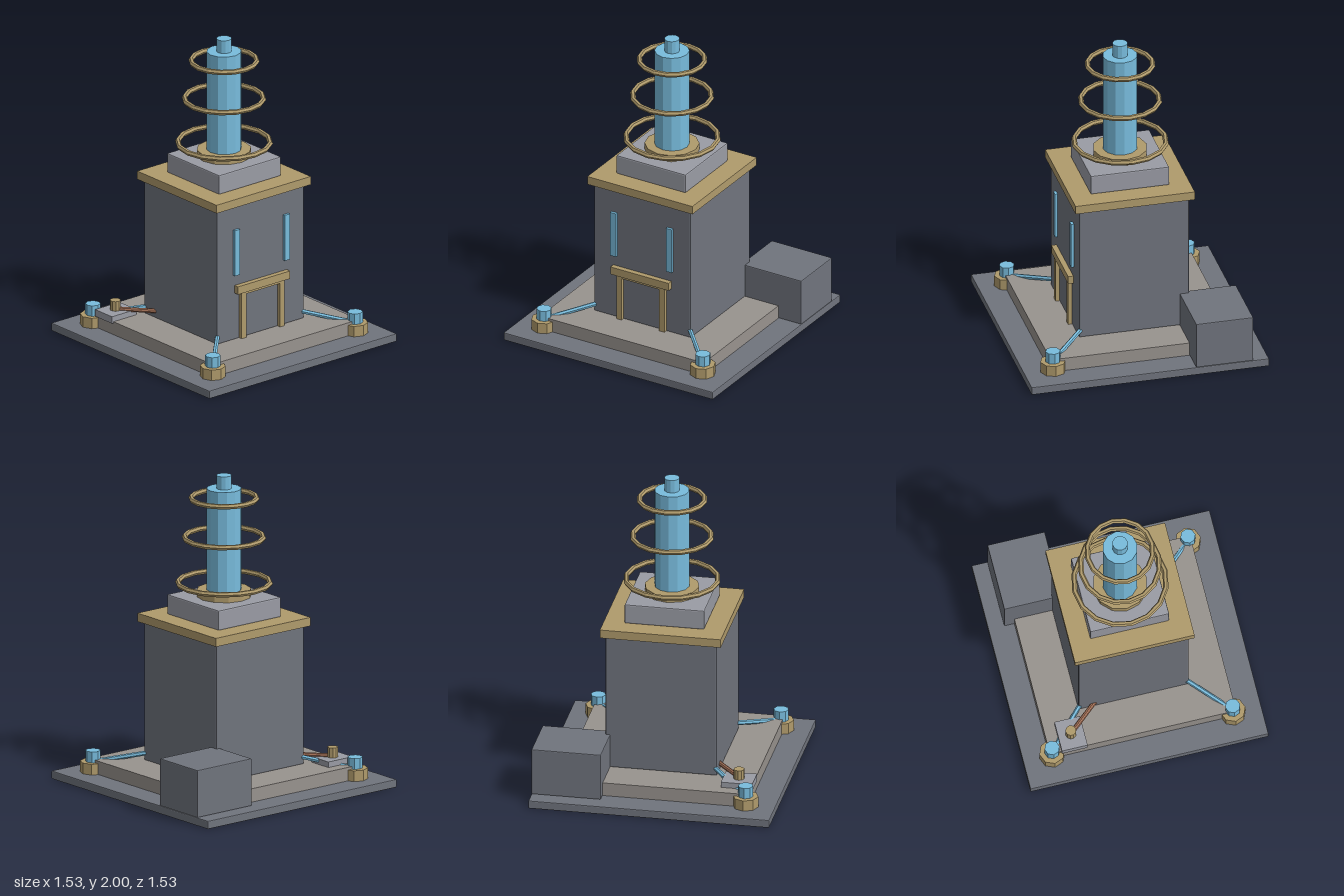
import * as THREE from 'three';
import { RoundedBoxGeometry } from 'three/addons/geometries/RoundedBoxGeometry.js';

const mat = (color) => new THREE.MeshStandardMaterial({ color, flatShading: true });
const stone = mat(0x70747d), slab = mat(0x98938e), pale = mat(0x9a9ca5);
const brass = mat(0xb09b6c), glow = mat(0x78bcdd), copper = mat(0xa8745a);

export function createModel() {
  const model = new THREE.Group();

  const add = (name, geometry, material) => {
    const mesh = new THREE.Mesh(geometry, material);
    mesh.name = name;
    model.add(mesh);
    return mesh;
  };
  // Box given by its extents on each axis; bevel softens its edges
  const box = (name, material, [x0, x1], [y0, y1], [z0, z1], bevel = 0) => {
    const size = [x1 - x0, y1 - y0, z1 - z0];
    const geometry = bevel
      ? new RoundedBoxGeometry(...size, 1, bevel)
      : new THREE.BoxGeometry(...size);
    add(name, geometry, material).position.set((x0 + x1) / 2, (y0 + y1) / 2, (z0 + z1) / 2);
  };
  const square = (name, material, half, ys, bevel) =>
    box(name, material, [-half, half], ys, [-half, half], bevel);
  // Upright prism
  const post = (name, material, r, [y0, y1], sides, x = 0, z = 0) =>
    add(name, new THREE.CylinderGeometry(r, r, y1 - y0, sides), material)
      .position.set(x, (y0 + y1) / 2, z);
  // Straight pipe between two points
  const pipe = (name, material, r, from, to, sides) => {
    const a = new THREE.Vector3(...from), b = new THREE.Vector3(...to);
    const mesh = add(name, new THREE.CylinderGeometry(r, r, a.distanceTo(b), sides), material);
    mesh.position.copy(a).add(b).multiplyScalar(0.5);
    mesh.quaternion.setFromUnitVectors(new THREE.Vector3(0, 1, 0), b.sub(a).normalize());
  };

  // Stacked tower
  square('base', stone, 0.767, [0, 0.053], 0.006);
  square('plinth', slab, 0.6, [0.05, 0.14]);
  square('towerBody', stone, 0.355, [0.137, 1.037], 0.008);
  square('cap', brass, 0.385, [1.035, 1.09]);
  square('coilBlock', pale, 0.254, [1.088, 1.217], 0.008);

  // Core column with its collar and tip
  post('collar', brass, 0.172, [1.215, 1.26], 12);
  post('core', glow, 0.11, [1.26, 1.915], 12);
  post('coreTip', glow, 0.048, [1.915, 2], 12);

  // Rings narrowing upward
  [[1.302, 0.29], [1.596, 0.248], [1.85, 0.206]].forEach(([y, r]) => {
    const ring = add('coilRing', new THREE.TorusGeometry(r, 0.017, 6, 16), brass);
    ring.rotation.x = Math.PI / 2;
    ring.position.y = y;
  });

  // Doorway and window strips on the front
  for (const s of [-1, 1]) {
    const span = (a, b) => (s > 0 ? [a, b] : [-b, -a]);
    box('doorPost', brass, span(0.138, 0.176), [0.14, 0.45], [0.34, 0.38]);
    box('window', glow, span(0.184, 0.225), [0.57, 0.875], [0.34, 0.373]);
  }
  box('doorHead', brass, [-0.138, 0.138], [0.432, 0.45], [0.34, 0.38]);
  box('lintel', brass, [-0.213, 0.213], [0.448, 0.5], [0.34, 0.389]);

  // Corner pylons joined to the tower by conduits
  for (const [sx, sz] of [[1, 1], [-1, 1], [-1, -1]]) {
    post('pylonFoot', brass, 0.081, [0.05, 0.123], 8, sx * 0.582, sz * 0.582);
    post('pylonLamp', glow, 0.048, [0.123, 0.193], 8, sx * 0.582, sz * 0.582);
    pipe('conduit', glow, 0.015, [sx * 0.34, 0.185, sz * 0.34], [sx * 0.57, 0.122, sz * 0.57], 6);
  }

  // Annex at the back left corner
  box('annex', stone, [0.325, 0.767], [0.053, 0.36], [-0.665, -0.295], 0.006);

  // Small valve unit piped to the tower
  box('valveBox', pale, [-0.612, -0.413], [0.13, 0.176], [-0.525, -0.36]);
  post('valve', brass, 0.034, [0.176, 0.24], 10, -0.514, -0.444);
  pipe('valvePipe', copper, 0.015, [-0.514, 0.181, -0.444], [-0.33, 0.181, -0.23], 8);

  return model;
}
